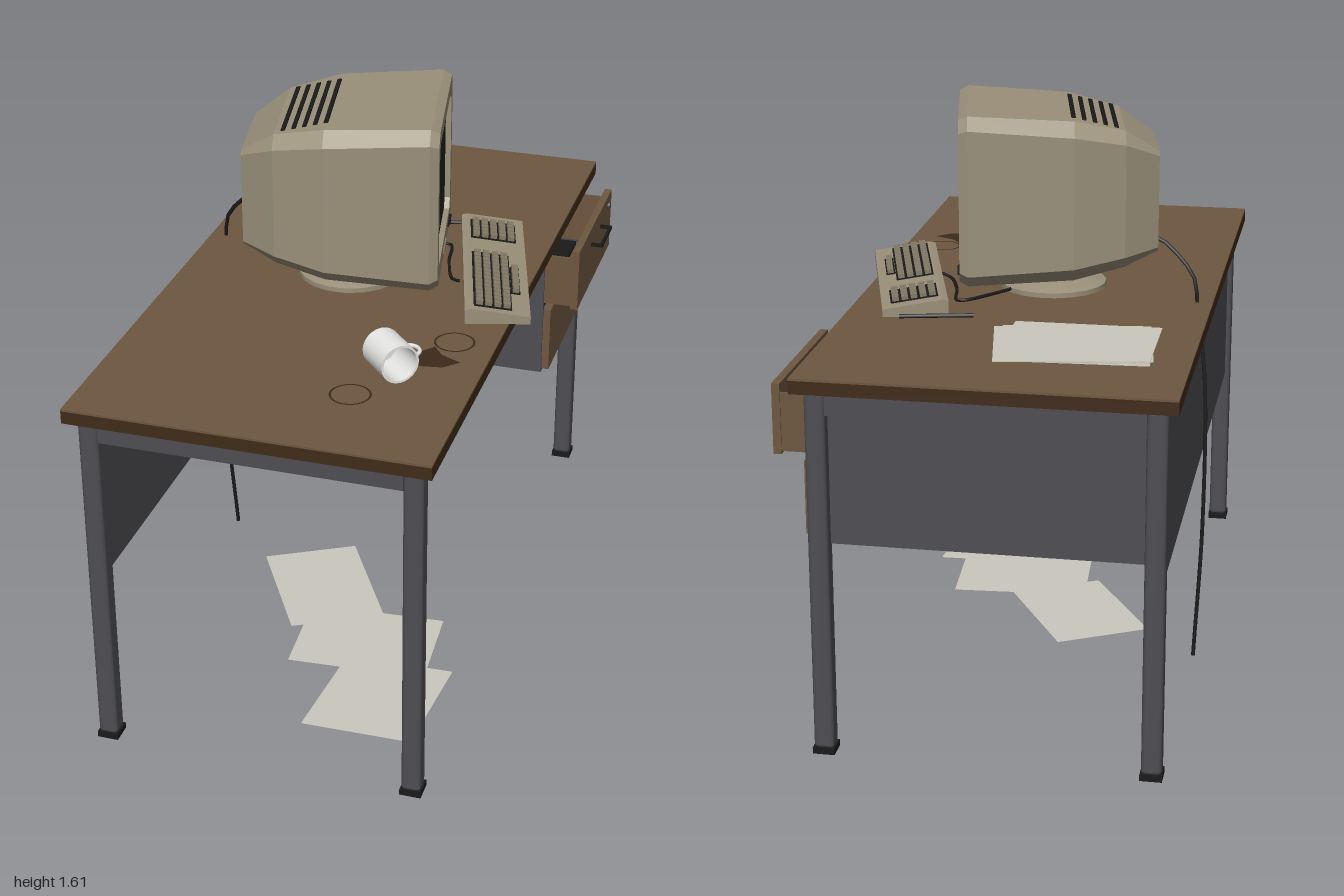
import * as THREE from 'three';
import { mergeGeometries, toCreasedNormals } from 'three/addons/utils/BufferGeometryUtils.js';
import { RoundedBoxGeometry } from 'three/addons/geometries/RoundedBoxGeometry.js';

const mat = (name, color, side = THREE.FrontSide) => {
  const m = new THREE.MeshStandardMaterial({ color, side });
  m.name = name;
  return m;
};
const wood = mat('wood', 0x6e5740), darkWood = mat('dark wood', 0x402b19), metal = mat('grey metal', 0x4e4d53);
const beige = mat('beige plastic', 0x9a907a), keyCap = mat('key cap', 0x837a66), black = mat('black', 0x1a1a1a);
const glass = mat('screen glass', 0x252527), paper = mat('paper', 0xcbc8be, THREE.DoubleSide);
const china = mat('white china', 0xe6e6e4), coffee = mat('coffee', 0x3d2a1b, THREE.DoubleSide);

function add(parent, name, geo, material, x = 0, y = 0, z = 0) {
  const m = new THREE.Mesh(geo, material);
  m.name = name;
  m.position.set(x, y, z);
  parent.add(m);
  return m;
}
// Box given by its minimum and maximum on each axis
function block(parent, name, material, x0, x1, y0, y1, z0, z1) {
  return add(parent, name, new THREE.BoxGeometry(x1 - x0, y1 - y0, z1 - z0), material, (x0 + x1) / 2, (y0 + y1) / 2, (z0 + z1) / 2);
}
function group(parent, name, x = 0, y = 0, z = 0, ry = 0) {
  const g = new THREE.Group();
  g.name = name;
  g.position.set(x, y, z);
  g.rotation.y = ry;
  parent.add(g);
  return g;
}
function wire(parent, name, pts, r) {
  const path = new THREE.CatmullRomCurve3(pts.map(p => new THREE.Vector3(...p)), false, 'centripetal');
  add(parent, name, new THREE.TubeGeometry(path, 30, r, 6), black);
}
// Flat polygon lying at height y, outlined by x, z pairs
function flat(parent, name, pts, y, material) {
  const s = new THREE.Shape(pts.map(([x, z]) => new THREE.Vector2(x, -z)));
  add(parent, name, new THREE.ShapeGeometry(s).rotateX(-Math.PI / 2), material, 0, y, 0);
}
// Rectangle with chamfered corners, counterclockwise
const chamfered = (w, y0, y1, c) => [[w, y0 + c], [w, y1 - c], [w - c, y1], [c - w, y1], [-w, y1 - c], [-w, y0 + c], [c - w, y0], [w - c, y0]];

function buildDesk(root) {
  const desk = group(root, 'desk');
  block(desk, 'tableTop', darkWood, -0.56, 0.44, 1.03, 1.066, -1, 1);
  block(desk, 'topSurface', wood, -0.56, 0.44, 1.066, 1.072, -1, 1);
  for (const x of [-0.503, 0.383]) for (const z of [-0.943, 0.943]) {
    add(desk, 'leg', new RoundedBoxGeometry(0.055, 1.015, 0.055, 2, 0.012), metal, x, 0.5225, z);
    add(desk, 'foot', new THREE.BoxGeometry(0.06, 0.018, 0.06), black, x, 0.009, z);
  }
  // Rails under the top, modesty panel and end panel
  for (const z of [-0.945, 0.945]) block(desk, 'endRail', metal, -0.476, 0.356, 0.965, 1.03, z - 0.02, z + 0.02);
  block(desk, 'frontRail', metal, 0.365, 0.4, 0.96, 1.03, -0.41, 0.916);
  block(desk, 'backRail', metal, -0.522, -0.485, 0.96, 1.03, -0.916, 0.916);
  block(desk, 'backPanel', metal, -0.515, -0.5, 0.52, 0.96, -0.916, 0.916);
  block(desk, 'endPanel', metal, -0.476, 0.356, 0.6, 0.965, -0.935, -0.92);
  // Drawer cabinet
  block(desk, 'cabinetSide', metal, -0.5, 0.408, 0.6, 1.03, -0.42, -0.41);
  block(desk, 'cabinetSide', metal, -0.5, 0.408, 0.6, 1.03, -0.912, -0.902);
  block(desk, 'cabinetFloor', metal, -0.5, 0.408, 0.598, 0.61, -0.912, -0.41);
  block(desk, 'cabinetShelf', black, -0.5, 0.405, 0.815, 0.827, -0.902, -0.42);
  // Drawers: the upper one is pulled out
  for (const [x, y0, y1, hy, out] of [[0.491, 0.829, 1.023, 0.97, 0.085], [0.409, 0.61, 0.814, 0.755, 0]]) {
    const d = group(desk, 'drawer');
    block(d, 'drawerFront', wood, x, x + 0.022, y0, y1, -0.903, -0.413);
    for (const z of [-0.9, -0.424]) block(d, 'drawerSide', wood, x - 0.4, x, y0 + 0.008, y1 - 0.025, z, z + 0.008);
    block(d, 'drawerBack', wood, x - 0.4, x - 0.39, y0 + 0.008, y1 - 0.025, -0.895, -0.42);
    block(d, 'handleBar', black, x + 0.05, x + 0.059, hy - 0.005, hy + 0.005, -0.735, -0.588);
    for (const z of [-0.735, -0.597]) block(d, 'handlePost', black, x + 0.02, x + 0.055, hy - 0.005, hy + 0.005, z, z + 0.009);
    if (out) add(d, 'lock', new THREE.CylinderGeometry(0.01, 0.01, 0.008, 10).rotateZ(Math.PI / 2), metal, x + 0.025, 0.99, -0.852);
  }
}

function buildMonitor(root) {
  const mon = group(root, 'monitor', 0.183, 0, -0.06, Math.PI / 2 + 0.19);
  // Shell lofted from the narrow back to the front rim: z, half width, bottom, top, chamfer
  const rings = [[-0.563, 0.148, 1.207, 1.495, 0.012], [-0.465, 0.212, 1.17, 1.562, 0.035], [-0.32, 0.255, 1.142, 1.596, 0.04],
    [-0.025, 0.266, 1.13, 1.614, 0.035], [0, 0.254, 1.142, 1.602, 0.032]]
    .map(([z, w, y0, y1, c]) => chamfered(w, y0, y1, c).map(([x, y]) => [x, y, z]));
  const pos = [];
  for (let i = 0; i + 1 < rings.length; i++) for (let j = 0; j < 8; j++) {
    const k = (j + 1) % 8, a = rings[i][j], b = rings[i][k], c = rings[i + 1][k], d = rings[i + 1][j];
    pos.push(...a, ...b, ...c, ...a, ...c, ...d);
  }
  for (let j = 1; j < 7; j++) pos.push(...rings[0][0], ...rings[0][j + 1], ...rings[0][j]);
  const shell = new THREE.BufferGeometry();
  shell.setAttribute('position', new THREE.Float32BufferAttribute(pos, 3));
  shell.computeVertexNormals();
  add(mon, 'monitorShell', shell, beige);
  // Bezel with a recessed screen
  const vec = pts => pts.map(p => new THREE.Vector2(...p));
  const bezel = new THREE.Shape(vec(chamfered(0.254, 1.142, 1.602, 0.032)));
  bezel.holes.push(new THREE.Path(vec(chamfered(0.217, 1.193, 1.562, 0.025)).reverse()));
  add(mon, 'bezel', new THREE.ExtrudeGeometry(bezel, { depth: 0.025, bevelEnabled: false }), beige, 0, 0, -0.025);
  add(mon, 'screen', new THREE.PlaneGeometry(0.45, 0.385), glass, 0, 1.378, -0.016);
  block(mon, 'badgePlate', keyCap, -0.045, 0.042, 1.157, 1.168, 0, 0.004);
  block(mon, 'powerButton', black, 0.158, 0.2, 1.155, 1.173, 0, 0.006);
  block(mon, 'powerLight', black, 0.133, 0.141, 1.16, 1.168, 0, 0.004);
  // Top vents follow the slope of the shell
  for (let i = 0; i < 5; i++) {
    const z = -0.44 + i * 0.03;
    add(mon, 'vent', new THREE.BoxGeometry(0.33, 0.005, 0.012), black, 0, 1.596 + (z + 0.32) * 0.234 + 0.001, z).rotation.x = -0.23;
  }
  // Swivel stand
  const profile = [[0, 1.072], [0.155, 1.072], [0.155, 1.086], [0.095, 1.106], [0.085, 1.106], [0.085, 1.16], [0, 1.16]];
  const stand = new THREE.LatheGeometry(profile.map(p => new THREE.Vector2(...p)), 20);
  add(mon, 'swivelStand', toCreasedNormals(stand, 0.4), beige, 0, 0, -0.27);
}

function buildKeyboard(root) {
  const kb = group(root, 'keyboard', 0.325, 1.073, -0.1, Math.PI / 2 + 0.27);
  const side = new THREE.Shape([[-0.092, 0], [0.092, 0], [0.092, 0.022], [-0.075, 0.046], [-0.092, 0.042]].map(p => new THREE.Vector2(...p)));
  const body = new THREE.ExtrudeGeometry(side, { depth: 0.64, bevelEnabled: false }).rotateY(-Math.PI / 2).translate(0.32, 0, 0);
  add(kb, 'keyboardCase', body, beige);
  const deck = group(kb, 'keyDeck', 0, 0.0352, 0);
  deck.rotation.x = 0.143;
  const keys = [];
  const key = (x, z, w, d) => keys.push(new THREE.BoxGeometry(w, 0.014, d).translate(x, 0.008, z));
  // Key fields: centre x, columns, rows, key pitch, first row z
  for (const [cx, cols, rows, pitch, z0] of [[0.214, 5, 5, 0.024, -0.052], [-0.122, 14, 4, 0.0245, -0.052]]) {
    const w = cols * pitch, d = rows * 0.026;
    block(deck, 'keyWell', black, cx - w / 2 - 0.003, cx + w / 2 + 0.003, -0.001, 0.003, z0 - 0.015, z0 + d - 0.011);
    for (let r = 0; r < rows; r++) for (let c = 0; c < cols; c++) key(cx + (c - (cols - 1) / 2) * pitch, z0 + r * 0.026, pitch - 0.006, 0.019);
  }
  block(deck, 'spaceBarWell', black, -0.19, -0.02, -0.001, 0.003, 0.042, 0.068);
  key(-0.105, 0.055, 0.16, 0.018);
  add(deck, 'keys', mergeGeometries(keys), keyCap);
}

function buildMug(root) {
  const mug = group(root, 'mug', 0.205, 1.13, 0.57);
  // Lying on its side, with the handle pointing sideways
  const axis = new THREE.Vector3(0.67, 0, 0.74).normalize(), out = new THREE.Vector3(axis.z, 0, -axis.x);
  mug.quaternion.setFromRotationMatrix(new THREE.Matrix4().makeBasis(out, axis, new THREE.Vector3(0, -1, 0)));
  const profile = [[0, -0.062], [0.05, -0.062], [0.055, -0.055], [0.055, 0.062], [0.049, 0.062], [0.049, -0.054], [0, -0.054]];
  add(mug, 'mugBody', toCreasedNormals(new THREE.LatheGeometry(profile.map(p => new THREE.Vector2(...p)), 24), 0.6), china);
  add(mug, 'mugHandle', new THREE.TorusGeometry(0.033, 0.006, 6, 8, Math.PI).rotateZ(-Math.PI / 2), china, 0.052, 0, 0);
}

export function createModel() {
  const root = new THREE.Group();
  root.name = 'deskWithComputer';
  buildDesk(root);
  buildMonitor(root);
  buildKeyboard(root);
  buildMug(root);

  // Power cord down the back, keyboard cord and pen
  wire(root, 'powerCord', [[-0.38, 1.25, -0.085], [-0.405, 1.243, -0.092], [-0.503, 1.145, -0.122], [-0.517, 1.05, -0.13],
    [-0.543, 0.85, -0.14], [-0.55, 0.42, -0.165], [-0.535, 0.008, -0.2]], 0.006);
  wire(root, 'keyboardCord', [[0.25, 1.085, 0], [0.22, 1.079, -0.02], [0.18, 1.078, -0.13], [0.15, 1.078, -0.25], [0.05, 1.08, -0.15], [-0.05, 1.09, -0.03]], 0.005);
  wire(root, 'pen', [[0.08, 1.079, -0.39], [0.18, 1.079, -0.412], [0.28, 1.079, -0.435]], 0.006);

  // Coffee stain and cup rings
  flat(root, 'coffeeStain', [[0.19, 0.49], [0.24, 0.44], [0.28, 0.39], [0.31, 0.43], [0.37, 0.46], [0.33, 0.5], [0.27, 0.51]], 1.0745, coffee);
  for (const [x, z] of [[0.325, 0.35], [0.138, 0.712]])
    add(root, 'cupRing', new THREE.RingGeometry(0.051, 0.057, 28).rotateX(-Math.PI / 2), coffee, x, 1.0745, z);

  // Untidy stack of sheets on the desk
  [[-0.245, -0.6, 0.05], [-0.235, -0.6, 0.1], [-0.24, -0.595, 0.14], [-0.25, -0.585, 0.01], [-0.225, -0.615, 0.17]].forEach(([x, z, a], i) => {
    add(root, 'deskSheet', new THREE.BoxGeometry(0.405, 0.002, 0.315), paper, x, 1.074 + i * 0.002, z).rotation.y = a;
  });
  // Sheets dropped on the floor
  flat(root, 'floorSheet', [[-0.38, -0.03], [-0.126, -0.17], [0.07, 0.17], [-0.18, 0.31]], 0.003, paper);
  flat(root, 'floorSheet', [[0.256, 0.155], [0.276, 0.451], [-0.134, 0.479], [-0.154, 0.183]], 0.005, paper);
  flat(root, 'floorSheet', [[0.35, 0.4], [0.322, 0.754], [0, 0.76], [0.03, 0.41]], 0.007, paper);
  return root;
}
